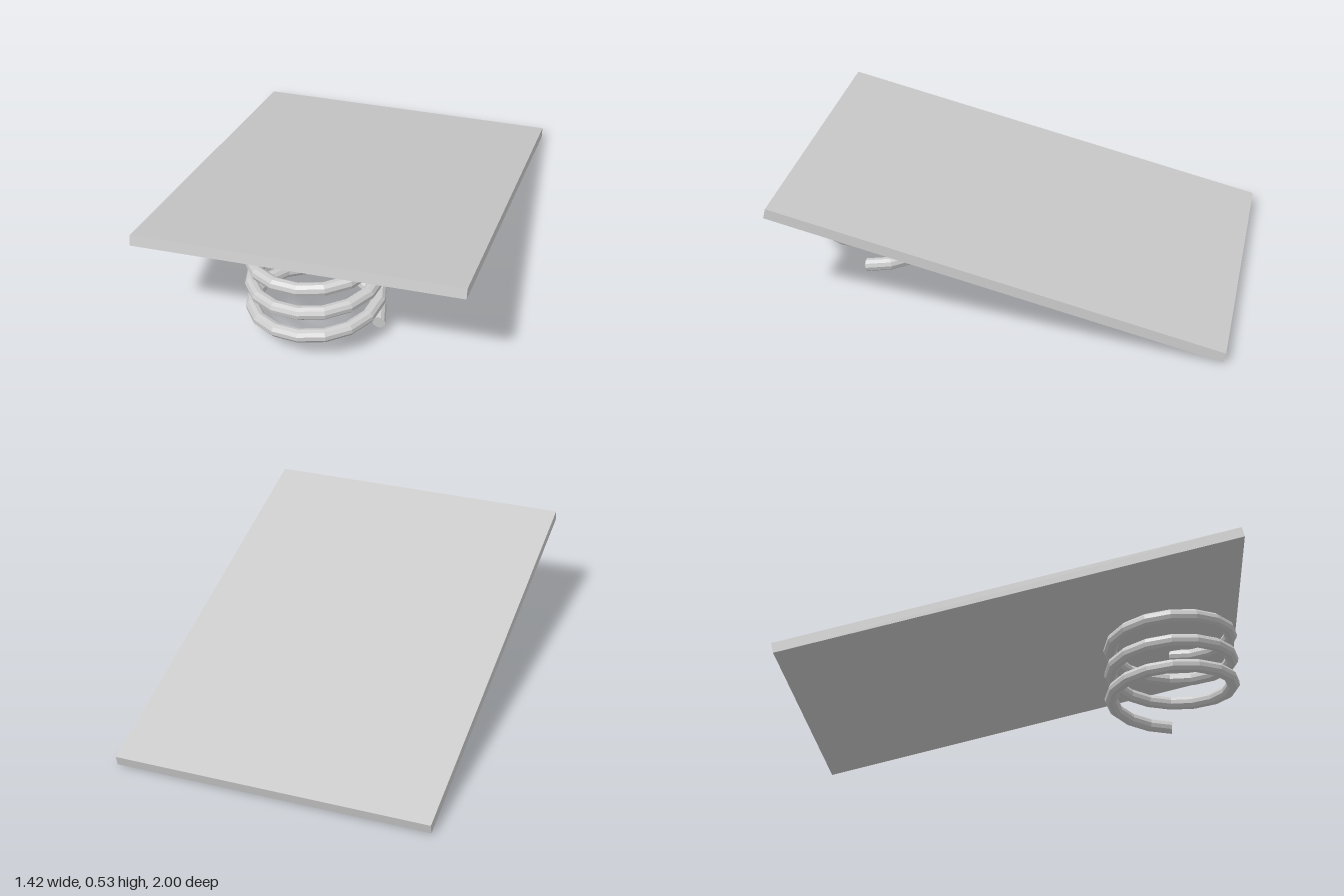
import * as THREE from 'three';

const material = new THREE.MeshStandardMaterial({ color: 0xcccccc, flatShading: true });

// Rising coil around the y axis, starting at +x and turning towards -z
class Helix extends THREE.Curve {
  constructor(radius, height, turns) {
    super();
    Object.assign(this, { radius, height, turns });
  }
  getPoint(t, target = new THREE.Vector3()) {
    const a = t * this.turns * Math.PI * 2;
    return target.set(this.radius * Math.cos(a), this.height * t, -this.radius * Math.sin(a));
  }
}

function createSpring() {
  const turns = 3, perTurn = 16, sides = 10, wire = 0.03;
  const path = new Helix(0.277, 0.365, turns);
  const tube = new THREE.TubeGeometry(path, turns * perTurn, wire, sides, false);

  const spring = new THREE.Group();
  spring.name = 'spring';
  const coil = new THREE.Mesh(tube, material);
  coil.name = 'springCoil';
  spring.add(coil);

  // Flat caps, lined up with the first and last rings of the wire
  for (const end of [0, 1]) {
    const i = end * turns * perTurn;
    const x = tube.normals[i].clone().negate();
    const y = tube.binormals[i].clone().multiplyScalar(end ? -1 : 1);
    const z = tube.tangents[i].clone().multiplyScalar(end ? 1 : -1);
    const geometry = new THREE.CircleGeometry(wire, sides);
    geometry.applyMatrix4(new THREE.Matrix4().makeBasis(x, y, z).setPosition(path.getPoint(end)));
    const cap = new THREE.Mesh(geometry, material);
    cap.name = end ? 'springTopEnd' : 'springBottomEnd';
    spring.add(cap);
  }
  return spring;
}

export function createModel() {
  const model = new THREE.Group();
  model.name = 'springboard';

  // Sloping board, raised at the front
  const board = new THREE.Mesh(new THREE.BoxGeometry(1.42, 0.047, 2.046), material);
  board.name = 'board';
  board.position.y = 0.268;
  board.rotation.x = -0.235;
  model.add(board);

  // Spring under the raised end
  const spring = createSpring();
  spring.position.set(0, 0.03, 0.686);
  model.add(spring);

  return model;
}
